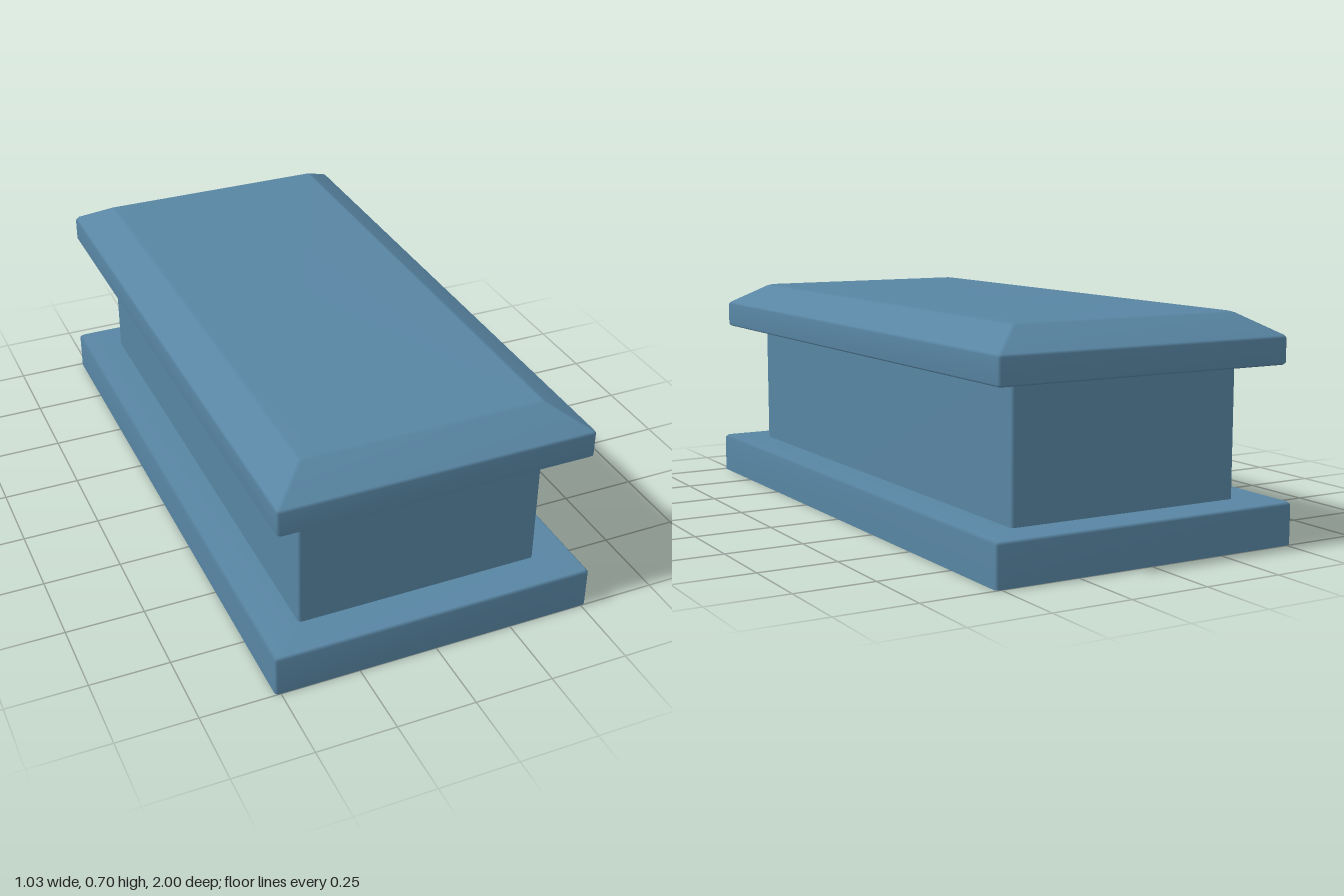
import * as THREE from 'three';

const LENGTH_EXTRA = 0.483; // every ring is this much longer (half-size) in z than in x

// Eight corners of a chamfered rectangle, counter-clockwise seen from above
function ring(hx, y, c) {
  const hz = hx + LENGTH_EXTRA;
  return [
    [hx, hz - c], [hx, -hz + c], [hx - c, -hz], [-hx + c, -hz],
    [-hx, -hz + c], [-hx, hz - c], [-hx + c, hz], [hx - c, hz],
  ].map(([x, z]) => [x, y, z]);
}

// Thin shell through a profile of [halfWidth, height], optionally closed on top
function shell(name, profile, material, closed = false) {
  const positions = [];
  const index = [];
  const n = 8;
  for (const [hx, y] of profile) positions.push(...ring(hx, y, 0.008).flat());
  for (let r = 0; r < profile.length - 1; r++) {
    for (let i = 0; i < n; i++) {
      const a = r * n + i, b = r * n + (i + 1) % n;
      index.push(a, b, b + n, a, b + n, a + n);
    }
  }
  if (closed) {
    const top = (profile.length - 1) * n;
    positions.push(0, profile[profile.length - 1][1], 0);
    for (let i = 0; i < n; i++) index.push(top + n, top + i, top + (i + 1) % n);
  }
  const geometry = new THREE.BufferGeometry();
  geometry.setAttribute('position', new THREE.Float32BufferAttribute(positions, 3));
  geometry.setIndex(index);
  geometry.computeVertexNormals();
  const mesh = new THREE.Mesh(geometry, material);
  mesh.name = name;
  return mesh;
}

export function createModel() {
  const group = new THREE.Group();
  group.name = 'pedestal';
  const material = new THREE.MeshStandardMaterial({ color: 0x5885a3, side: THREE.DoubleSide });

  // Open plinth with a softened upper edge and a flat ledge
  group.add(shell('base', [
    [0.517, 0], [0.517, 0.124], [0.509, 0.132], [0.392, 0.132],
  ], material));

  // Hollow upright walls
  group.add(shell('body', [[0.392, 0.132], [0.392, 0.546]], material));

  // Overhanging lid with a sloped rim and flat top
  group.add(shell('lid', [
    [0.392, 0.546], [0.493, 0.546], [0.499, 0.552], [0.499, 0.626],
    [0.494, 0.634], [0.39, 0.698], [0.376, 0.703],
  ], material, true));

  return group;
}
